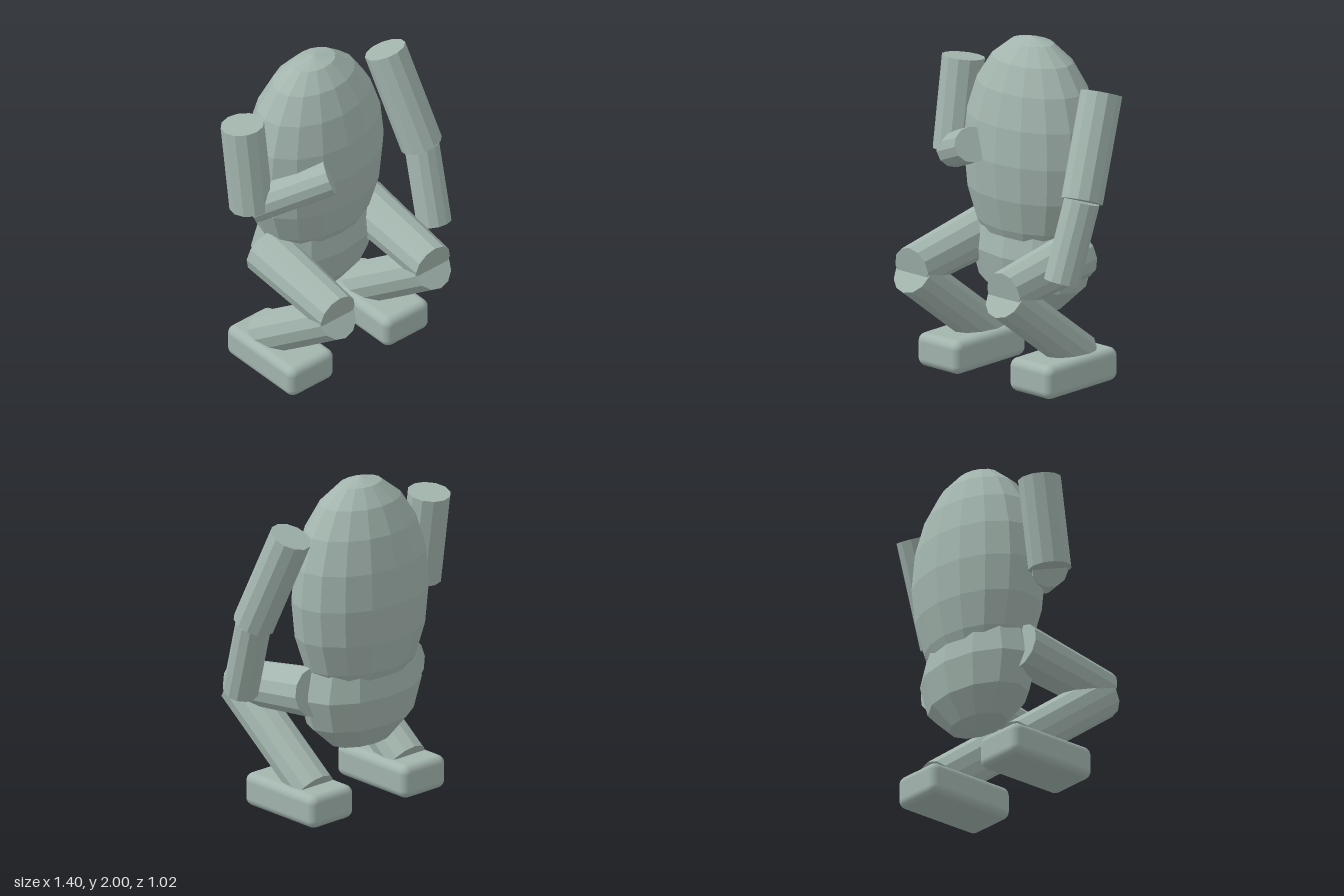
import * as THREE from 'three';
import { RoundedBoxGeometry } from 'three/addons/geometries/RoundedBoxGeometry.js';

const UP = new THREE.Vector3(0, 1, 0);
const MID_X = -0.037; // body centre line
const MID_Z = -0.193;

export function createModel() {
  const model = new THREE.Group();
  model.name = 'squattingFigure';
  const sage = new THREE.MeshStandardMaterial({ color: 0xa3b5ae });
  sage.name = 'sageGrey';

  const add = (name, geometry, x, y, z) => {
    const mesh = new THREE.Mesh(geometry, sage);
    mesh.name = name;
    mesh.position.set(x, y, z);
    model.add(mesh);
    return mesh;
  };

  // one normal per face, for the faceted parts
  const faceted = (geometry) => {
    const flat = geometry.toNonIndexed();
    flat.computeVertexNormals();
    return flat;
  };

  const ellipsoid = (name, y, rx, ry, rz, around, down) => {
    const g = new THREE.SphereGeometry(1, around, down).scale(rx, ry, rz);
    add(name, faceted(g), MID_X, y, MID_Z);
  };

  // straight limb between two joints
  const limb = (name, from, to, rFrom, rTo = rFrom) => {
    const a = new THREE.Vector3(...from);
    const b = new THREE.Vector3(...to);
    const dir = b.clone().sub(a);
    const g = new THREE.CylinderGeometry(rTo, rFrom, dir.length(), 12);
    const mid = a.add(b).multiplyScalar(0.5);
    const mesh = add(name, faceted(g), mid.x, mid.y, mid.z);
    mesh.quaternion.setFromUnitVectors(UP, dir.normalize());
  };

  // body
  ellipsoid('torso', 1.3, 0.46, 0.7, 0.32, 16, 10);
  ellipsoid('hips', 0.72, 0.42, 0.375, 0.26, 12, 6);

  // right arm, bent across the chest
  limb('rightUpperArm', [-0.577, 1.222, -0.115], [-0.577, 1.764, -0.193], 0.127);
  limb('rightForearm', [-0.577, 1.22, -0.115], [-0.2, 1.385, 0.14], 0.105);

  // left arm, hanging forward
  limb('leftUpperArm', [0.574, 1.185, 0.048], [0.503, 1.765, -0.193], 0.124);
  limb('leftForearm', [0.574, 1.185, 0.048], [0.545, 0.722, 0.19], 0.104);

  // folded legs and feet
  for (const [side, sign] of [['right', -1], ['left', 1]]) {
    const x = MID_X + sign * 0.36;
    limb(side + 'Thigh', [x, 0.765, -0.193], [x, 0.667, 0.44], 0.147, 0.128);
    limb(side + 'Shin', [x, 0.167, -0.19], [x, 0.638, 0.433], 0.128);
    add(side + 'Foot', new RoundedBoxGeometry(0.335, 0.2, 0.594, 4, 0.05), x, 0.1, -0.067);
  }

  return model;
}
